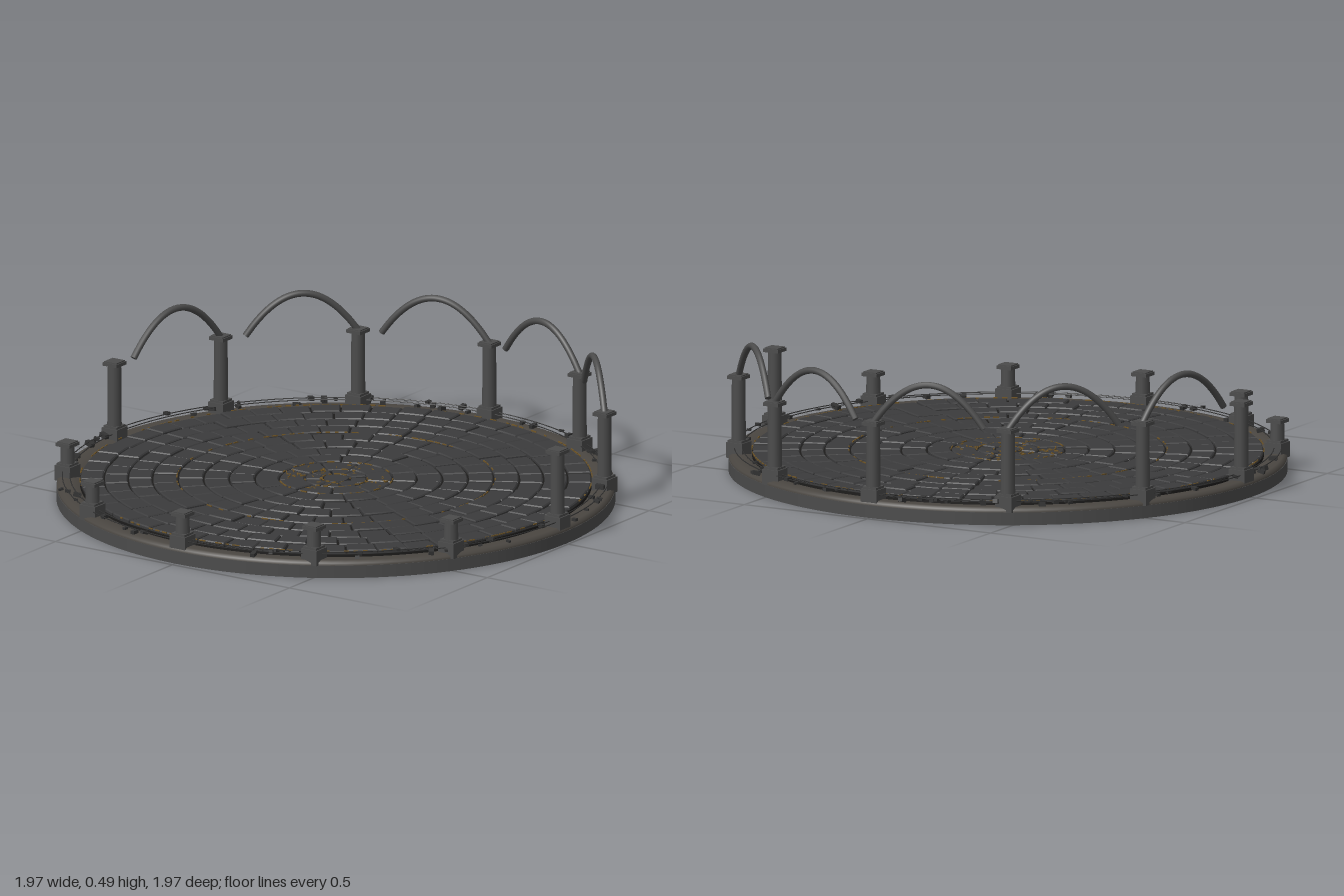
import * as THREE from 'three';
import { mergeGeometries } from 'three/addons/utils/BufferGeometryUtils.js';

const material = (name, color) => {
  const m = new THREE.MeshStandardMaterial({ color });
  m.name = name;
  return m;
};

// Small seeded random generator
function seeded(seed) {
  return () => {
    seed = (seed * 16807) % 2147483647;
    return seed / 2147483647;
  };
}

// Bevelled paving stone: a ring sector lying flat, bottom at y0, top at y1
function pavingStone(r0, r1, a0, a1, y0, y1) {
  const bevel = 0.004;
  const rm = (r0 + r1) / 2;
  const pad = bevel + 0.003;
  const da = Math.min(pad / rm, (a1 - a0) * 0.3);
  const shape = new THREE.Shape();
  shape.absarc(0, 0, r1 - pad, a0 + da, a1 - da, false);
  shape.absarc(0, 0, r0 + pad, a1 - da, a0 + da, true);
  const g = new THREE.ExtrudeGeometry(shape, {
    depth: y1 - y0 - bevel, bevelEnabled: true, bevelSize: bevel,
    bevelThickness: bevel, bevelSegments: 1, curveSegments: 3,
  });
  return g.rotateX(-Math.PI / 2).translate(0, y0, 0);
}

export function createModel() {
  const group = new THREE.Group();
  const deck = new THREE.Group();
  deck.name = 'plaza';
  deck.position.x = 0.007;
  group.add(deck);

  const mats = {
    stone: material('grey stone', 0x4b4b4b),
    paving: material('dark paving', 0x3b3b3c),
    grout: material('black grout', 0x1d1c1b),
    rim: material('brown grey rim', 0x4a4641),
    gold: material('dull gold', 0x6e5426),
    rubble: material('dark rubble', 0x333333),
  };
  const rand = seeded(4217);
  const add = (name, geometry, mat, parent = deck) => {
    const mesh = new THREE.Mesh(geometry, mat);
    mesh.name = name;
    parent.add(mesh);
    return mesh;
  };

  // Round base slab
  add('baseSlab', new THREE.CylinderGeometry(0.983, 0.983, 0.045, 128), mats.stone).position.y = 0.0225;

  // Raised rim with a slope down to the paving
  const rimProfile = [[0.89, 0.044], [0.9, 0.052], [0.93, 0.062], [0.968, 0.062], [0.981, 0.054], [0.981, 0.044]]
    .map(([x, y]) => new THREE.Vector2(x, y)).reverse();
  const rim = add('rim', new THREE.LatheGeometry(rimProfile.reverse(), 128), mats.rim);
  rim.material.side = THREE.DoubleSide;

  // Thin hoops above the rim
  for (const r of [0.935, 0.962]) {
    add('rimHoop', new THREE.TorusGeometry(r, 0.002, 5, 128).rotateX(Math.PI / 2), mats.rubble).position.y = 0.082;
  }

  // Grout bed
  add('groutBed', new THREE.CylinderGeometry(0.9, 0.9, 0.02, 96), mats.grout).position.y = 0.054;

  // Paving rings with staggered stones
  const radii = [0.05, 0.11, 0.2, 0.285, 0.375, 0.465, 0.555, 0.645, 0.73, 0.815, 0.9];
  for (let i = 0; i < radii.length - 1; i++) {
    const [r0, r1] = [radii[i], radii[i + 1]];
    const count = Math.max(8, Math.round((Math.PI * (r0 + r1)) / 0.105));
    const step = (Math.PI * 2) / count;
    const stones = [];
    for (let k = 0; k < count; k++) {
      const a = (k + (i % 2) * 0.5) * step;
      stones.push(pavingStone(r0, r1, a, a + step, 0.056, 0.071 + rand() * 0.007));
    }
    add('pavingRing', mergeGeometries(stones), mats.paving);
  }
  add('centreStone', new THREE.CylinderGeometry(0.042, 0.046, 0.018, 24), mats.paving).position.y = 0.065;

  // Gold inlay: broken circles and flecks around the centre
  const inlay = [];
  const fleck = (r, a, length, width, turn) => inlay.push(
    new THREE.BoxGeometry(width, 0.004, length).rotateY(turn)
      .translate(r, 0.074, 0).rotateY(a));
  for (const [r, n] of [[0.05, 12], [0.11, 24], [0.2, 36], [0.56, 110], [0.9, 170]]) {
    for (let k = 0; k < n; k++) {
      if (rand() < 0.6) fleck(r, (k / n) * Math.PI * 2, ((Math.PI * 2 * r) / n) * (0.3 + rand() * 0.6), 0.004, 0);
    }
  }
  for (let k = 0; k < 70; k++) {
    fleck(0.05 + rand() * 0.15, rand() * 6.28, 0.006 + rand() * 0.014, 0.004, rand() * 3);
  }
  add('goldInlay', mergeGeometries(inlay), mats.gold);

  // Columns: tall across the back half, broken short ones in front
  const ringRadius = 0.947;
  const spot = (i) => new THREE.Vector3(
    Math.cos((i * Math.PI) / 6) * ringRadius, 0, -Math.sin((i * Math.PI) / 6) * ringRadius);
  for (let i = 0; i < 12; i++) {
    const tall = i <= 6;
    const top = tall ? 0.343 : 0.186;
    const column = new THREE.Group();
    column.name = tall ? 'tallColumn' : 'shortColumn';
    column.position.copy(spot(i));
    deck.add(column);
    const block = (name, w, y0, y1) =>
      add(name, new THREE.BoxGeometry(w, y1 - y0, w), mats.stone, column).position.y = (y0 + y1) / 2;
    block('plinth', 0.066, 0.045, 0.1);
    block('plinthStep', 0.056, 0.1, 0.108);
    add('shaft', new THREE.CylinderGeometry(0.024, 0.026, top - 0.12, 16), mats.stone, column)
      .position.y = (top + 0.096) / 2;
    block('capital', 0.06, top - 0.016, top - 0.004);
    block('capitalTop', 0.052, top - 0.004, top);
  }

  // Arches springing from each back column, stopping short of the next
  for (let i = 1; i <= 5; i++) {
    const start = spot(i);
    const end = start.clone().lerp(spot(i + 1), 0.82);
    const points = [];
    for (let k = 0; k <= 12; k++) {
      const t = k / 12;
      const p = start.clone().lerp(end, t);
      p.y = 0.335 + 0.145 * 4 * t * (1 - t);
      points.push(p);
    }
    const curve = new THREE.CatmullRomCurve3(points);
    add('arch', new THREE.TubeGeometry(curve, 40, 0.012, 10), mats.stone);
    // End caps
    for (const t of [0, 1]) {
      const cap = add('archEnd', new THREE.CircleGeometry(0.012, 10), mats.stone);
      const tangent = curve.getTangent(t).multiplyScalar(t ? 1 : -1);
      cap.position.copy(curve.getPoint(t));
      cap.quaternion.setFromUnitVectors(new THREE.Vector3(0, 0, 1), tangent);
    }
  }

  // Rubble scattered along the rim
  const rubble = [];
  for (let k = 0; k < 70; k++) {
    const r = 0.925 + rand() * 0.055;
    const size = 0.008 + rand() * 0.012;
    rubble.push(new THREE.BoxGeometry(size * 1.6, size * 0.8, size)
      .rotateY(rand() * 0.8 - 0.4).rotateZ(rand() * 0.6 - 0.3)
      .translate(r, 0.07 + rand() * 0.012, 0).rotateY(rand() * Math.PI * 2));
  }
  add('rubble', mergeGeometries(rubble), mats.rubble);

  return group;
}
